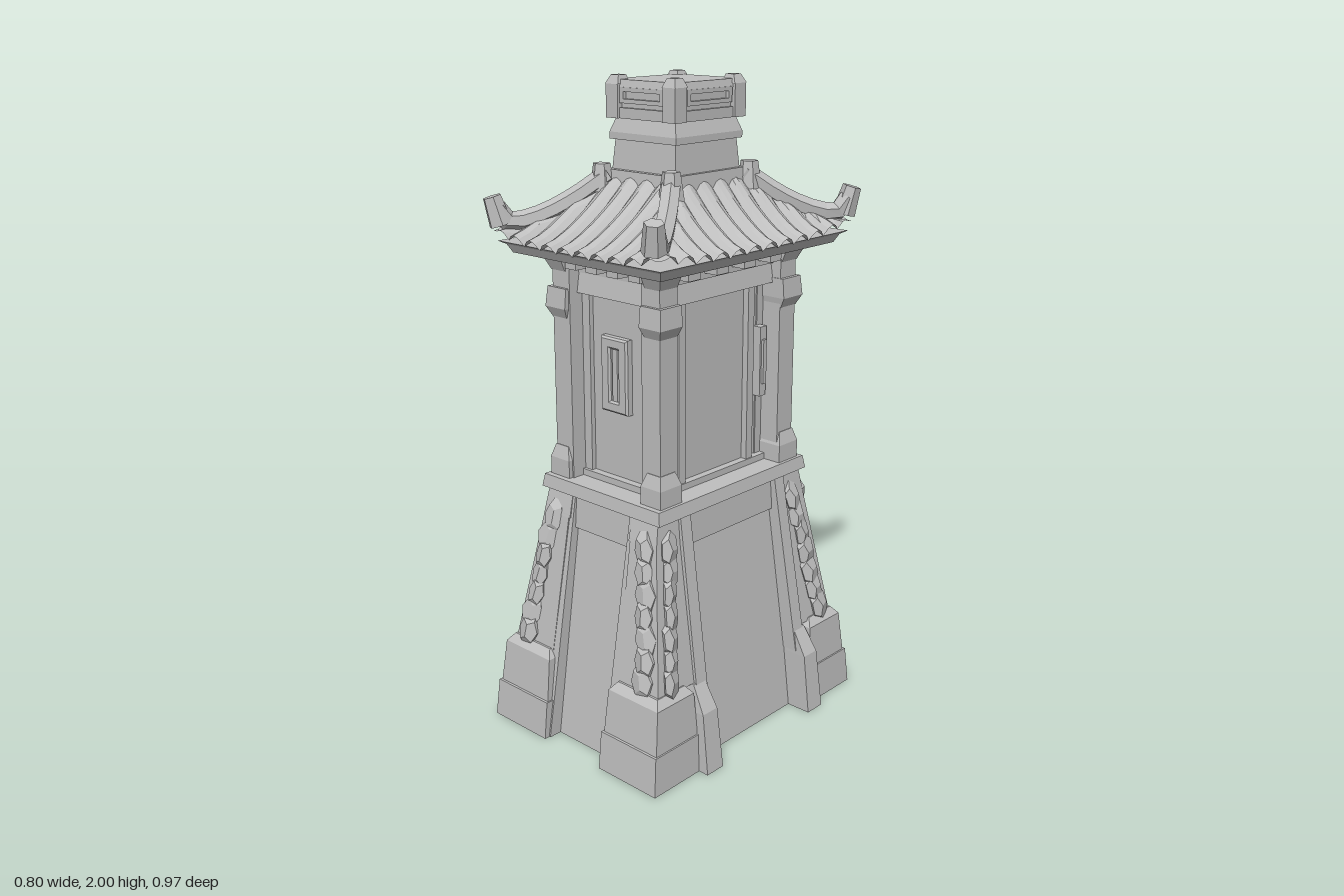
import * as THREE from 'three';

const stone = new THREE.MeshStandardMaterial({ color: 0xbfbfbf, flatShading: true, side: THREE.DoubleSide });
stone.name = 'grey stone';

const corners = [[1, 1], [-1, 1], [1, -1], [-1, -1]];
const lerp = THREE.MathUtils.lerp;

// Half width of the sloping base walls at height y
const wallX = y => lerp(0.305, 0.2, y / 0.78);
const wallZ = y => lerp(0.412, 0.298, y / 0.78);

export function createModel() {
  const group = new THREE.Group();
  const tower = new THREE.Group();
  tower.name = 'tower';
  tower.rotation.y = -0.045;
  group.add(tower);

  let seed = 7;
  const rand = () => (seed = (seed * 16807) % 2147483647) / 2147483647;

  const add = (name, geo) => {
    const m = new THREE.Mesh(geo, stone);
    m.name = name;
    tower.add(m);
    return m;
  };
  // Box between two heights; each rectangle is [x0, x1, z0, z1]; parts on the ground are hollow below
  const block = (name, y0, y1, a, b = a) => {
    const geo = new THREE.BoxGeometry(1, 1, 1);
    const p = geo.attributes.position;
    for (let i = 0; i < p.count; i++) {
      const r = p.getY(i) > 0 ? b : a;
      p.setXYZ(i, p.getX(i) > 0 ? r[1] : r[0], p.getY(i) > 0 ? y1 : y0, p.getZ(i) > 0 ? r[3] : r[2]);
    }
    if (y0 === 0) {
      const index = Array.from(geo.index.array);
      index.splice(18, 6);
      geo.setIndex(index);
      geo.clearGroups();
    }
    return add(name, geo);
  };
  const rect = (x, z) => [-x, x, -z, z];
  const slab = (name, y0, y1, x0, z0, x1 = x0, z1 = z0) => block(name, y0, y1, rect(x0, z0), rect(x1, z1));
  // Rectangle mirrored into one of the four corners
  const mir = ([x0, x1, z0, z1], sx, sz) => [
    Math.min(sx * x0, sx * x1), Math.max(sx * x0, sx * x1),
    Math.min(sz * z0, sz * z1), Math.max(sz * z0, sz * z1)];
  const four = (name, y0, y1, a, b = a) => corners.forEach(([sx, sz]) => block(name, y0, y1, mir(a, sx, sz), mir(b, sx, sz)));

  // Sloping base and the bands around it
  slab('baseWall', 0, 0.78, wallX(0), wallZ(0), wallX(0.78), wallZ(0.78));
  slab('baseBand', 0.67, 0.78, wallX(0.67) + 0.012, wallZ(0.67) + 0.012, 0.22, 0.318);
  slab('ledge', 0.775, 0.815, 0.247, 0.338, 0.24, 0.332);

  // Stepped corner footings and tapering pilasters
  four('cornerFooting', 0, 0.12, [0.12, 0.352, 0.27, 0.472], [0.12, 0.345, 0.27, 0.46]);
  four('cornerFootingTop', 0.12, 0.255, [0.125, 0.34, 0.275, 0.452], [0.13, 0.33, 0.28, 0.436]);
  four('cornerFootingCap', 0.255, 0.28, [0.13, 0.33, 0.28, 0.436], [0.15, 0.31, 0.3, 0.415]);
  four('cornerPilaster', 0.27, 0.71, [0.14, 0.308, 0.24, 0.41], [0.13, 0.235, 0.225, 0.338]);
  four('pilasterCap', 0.7, 0.78, [0.125, 0.237, 0.225, 0.34], [0.125, 0.228, 0.22, 0.323]);
  four('pilasterEdge', 0, 0.78, [0.115, 0.15, 0.3, 0.455], [0.115, 0.145, 0.25, 0.322]);

  // Rough carving climbing both outer faces of each pilaster
  corners.forEach(([sx, sz]) => {
    for (let i = 0; i < 7; i++) {
      const t = i / 6, y = lerp(0.31, 0.69, t);
      const px = lerp(0.304, 0.237, t), pz = lerp(0.406, 0.34, t);
      const carve = (x, z, ax, az) => {
        const geo = new THREE.DodecahedronGeometry(1, 0);
        geo.scale(ax * (0.8 + 0.4 * rand()), 0.06, az * (0.8 + 0.4 * rand()));
        const m = add('carving', geo);
        m.position.set(sx * x, y, sz * z);
        m.rotation.set(sz * -0.15, rand() * 0.4, sx * 0.15 + (rand() - 0.5) * 0.2);
      };
      carve(lerp(0.25, 0.195, t) + (rand() - 0.5) * 0.015, pz, 0.035, 0.021);
      carve(px, lerp(0.35, 0.29, t) + (rand() - 0.5) * 0.015, 0.021, 0.037);
    }
  });

  // Plain ribs on the left face, with stepped feet on both side faces
  [1, -1].forEach(sz => {
    block('sideRib', 0.2, 0.78, mir([0.2, 0.328, 0.21, 0.258], 1, sz), mir([0.18, 0.236, 0.195, 0.238], 1, sz));
    [1, -1].forEach(sx => {
      block('ribFoot', 0, 0.19, mir([0.25, 0.386, 0.21, 0.28], sx, sz), mir([0.25, 0.362, 0.212, 0.275], sx, sz));
      block('ribFootTop', 0.19, 0.27, mir([0.25, 0.362, 0.212, 0.275], sx, sz), mir([0.22, 0.315, 0.215, 0.265], sx, sz));
    });
  });

  // Arched doorway leaning against the right face
  const arch = new THREE.Shape();
  arch.moveTo(-0.25, 0).lineTo(-0.25, 0.33).absarc(0, 0.33, 0.25, Math.PI, 0, true);
  arch.lineTo(0.25, 0).lineTo(0.19, 0).lineTo(0.19, 0.33).absarc(0, 0.33, 0.19, 0, Math.PI, false);
  arch.lineTo(-0.19, 0).closePath();
  const archGeo = new THREE.ExtrudeGeometry(arch, { depth: 0.075, bevelEnabled: false, curveSegments: 8 });
  archGeo.rotateY(-Math.PI / 2);
  const ap = archGeo.attributes.position;
  for (let i = 0; i < ap.count; i++) ap.setX(i, ap.getX(i) - wallX(ap.getY(i)) + 0.02);
  add('doorArch', archGeo);

  // Horned beast head above the arch
  block('beastHead', 0.61, 0.74, [-0.285, -0.2, -0.035, 0.035], [-0.275, -0.2, -0.065, 0.065]);
  block('beastSnout', 0.55, 0.66, [-0.3, -0.22, -0.025, 0.025], [-0.305, -0.22, -0.04, 0.04]);
  [1, -1].forEach(s => {
    const horn = add('beastHorn', new THREE.ConeGeometry(0.028, 0.12, 5));
    horn.position.set(-0.25, 0.765, s * 0.08);
    horn.rotation.x = s * 0.6;
    const ear = add('beastEar', new THREE.ConeGeometry(0.028, 0.09, 4));
    ear.position.set(-0.255, 0.69, s * 0.09);
    ear.rotation.x = s * 1.5;
  });

  // Upper room with panel strips and corner posts
  slab('roomWall', 0.81, 1.46, 0.146, 0.235);
  four('frontStrip', 0.81, 1.4, [0.115, 0.15, 0.2, 0.25]);
  four('sideStrip', 0.81, 1.4, [0.1, 0.166, 0.14, 0.168]);
  four('cornerPost', 0.81, 1.46, [0.145, 0.216, 0.228, 0.3]);
  four('postBase', 0.81, 0.87, [0.15, 0.23, 0.225, 0.314]);
  four('postBaseTop', 0.87, 0.91, [0.15, 0.23, 0.225, 0.314], [0.165, 0.218, 0.24, 0.302]);
  four('postCapital', 1.31, 1.34, [0.158, 0.218, 0.23, 0.302], [0.15, 0.233, 0.225, 0.316]);
  four('postCapitalTop', 1.34, 1.4, [0.15, 0.233, 0.225, 0.316], [0.15, 0.228, 0.225, 0.31]);
  slab('lowerRail', 0.81, 0.835, 0.17, 0.26);
  slab('lintel', 1.385, 1.445, 0.188, 0.27, 0.178, 0.26);
  slab('frieze', 1.445, 1.5, 0.188, 0.262);
  four('eaveBracket', 1.45, 1.5, [0.16, 0.218, 0.23, 0.302], [0.16, 0.24, 0.23, 0.324]);

  // Narrow shutters beside each side panel
  four('shutter', 1.03, 1.25, [0.14, 0.176, 0.187, 0.216]);
  four('shutterSlat', 1.07, 1.21, [0.14, 0.184, 0.194, 0.209]);

  // Dentil blocks under the eaves
  for (const s of [1, -1]) {
    for (let i = -1.5; i <= 1.5; i++) {
      const x = i * 0.085, z = i * 0.12;
      block('dentil', 1.462, 1.5, [x - 0.022, x + 0.022, s * 0.28 - 0.03, s * 0.28 + 0.03]);
      block('dentil', 1.462, 1.5, [s * 0.205 - 0.03, s * 0.205 + 0.03, z - 0.025, z + 0.025]);
    }
  }

  // Framed slit windows, front and back
  const frame = new THREE.Shape([[-0.048, -0.108], [0.048, -0.108], [0.048, 0.108], [-0.048, 0.108]].map(p => new THREE.Vector2(...p)));
  frame.holes.push(new THREE.Path([[-0.022, -0.085], [-0.022, 0.085], [0.022, 0.085], [0.022, -0.085]].map(p => new THREE.Vector2(...p))));
  for (const s of [1, -1]) {
    const win = add('windowFrame', new THREE.ExtrudeGeometry(frame, { depth: 0.018, bevelSize: 0.006, bevelThickness: 0.006, bevelSegments: 1 }));
    win.position.set(-0.01 * s, 1.155, s * 0.235);
    win.rotation.y = s > 0 ? 0 : Math.PI;
    block('windowBar', 1.07, 1.24, [-0.01 * s - 0.01, -0.01 * s + 0.01, s * 0.243 - 0.01, s * 0.243 + 0.01]);
  }

  // Eaves and the concave roof; tile ribs run straight down and stop at the hips
  slab('eaveSlab', 1.5, 1.525, 0.295, 0.38, 0.308, 0.393);
  slab('eaveSoffit', 1.525, 1.535, 0.308, 0.393, 0.325, 0.412);
  const roofSide = (w, d, topW, topD, ribs, turn) => {
    const geo = new THREE.PlaneGeometry(2, 1, ribs * 4, 7);
    const p = geo.attributes.position;
    for (let i = 0; i < p.count; i++) {
      const v = p.getY(i) + 0.5, half = lerp(w, topW, v);
      const x = THREE.MathUtils.clamp(p.getX(i) * w, -half, half), u = x / half;
      const rib = Math.abs(Math.sin((x / w + 1) * ribs * Math.PI / 2)) * 0.026 * (1 - 0.5 * v) * Math.min(1, (half - Math.abs(x)) * 20);
      const y = 1.53 + 0.185 * Math.pow(v, 1.4) + rib + 0.035 * Math.pow(Math.abs(u), 4) * (1 - v);
      p.setXYZ(i, x, y, lerp(d, topD, v) + rib * 0.4);
    }
    add('roofTiles', geo).rotation.y = turn;
  };
  for (const half of [0, Math.PI]) {
    roofSide(0.33, 0.42, 0.12, 0.14, 10, half);
    roofSide(0.42, 0.33, 0.14, 0.12, 12, half + Math.PI / 2);
  }

  // Upswept corner ridges with knobs at both ends
  for (const [sx, sz] of corners) {
    const pts = [[0.125, 1.72, 0.155], [0.19, 1.65, 0.24], [0.25, 1.603, 0.325], [0.295, 1.592, 0.39], [0.312, 1.63, 0.42]];
    const path = new THREE.CatmullRomCurve3(pts.map(([x, y, z]) => new THREE.Vector3(sx * x, y, sz * z)));
    add('roofRidge', new THREE.TubeGeometry(path, 8, 0.03, 6));
    const tip = add('ridgeTip', new THREE.CylinderGeometry(0.028, 0.036, 0.085, 6));
    tip.position.set(sx * 0.312, 1.625, sz * 0.422);
    tip.rotation.set(sz * 0.2, 0, -sx * 0.2);
    const knob = add('ridgeKnob', new THREE.CylinderGeometry(0.026, 0.038, 0.08, 6));
    knob.position.set(sx * 0.137, 1.712, sz * 0.168);
  }

  // Stepped turret neck
  slab('neckBase', 1.66, 1.735, 0.145, 0.163, 0.137, 0.155);
  slab('neckLower', 1.73, 1.82, 0.125, 0.138, 0.118, 0.13);
  slab('neckBand', 1.82, 1.84, 0.13, 0.142);
  slab('neckUpper', 1.84, 1.885, 0.13, 0.142, 0.114, 0.127);

  // Turret cap with raised slots and corner knobs
  slab('cap', 1.88, 1.98, 0.118, 0.132);
  slab('capLowerRim', 1.88, 1.91, 0.128, 0.142);
  slab('capUpperRim', 1.965, 1.988, 0.128, 0.142, 0.122, 0.136);
  four('capCorner', 1.88, 1.975, [0.088, 0.135, 0.102, 0.15]);
  four('capCornerTop', 1.975, 2, [0.085, 0.136, 0.099, 0.151], [0.094, 0.124, 0.108, 0.139]);
  const slot = (w, d, turn) => {
    const s = new THREE.Shape([[-w, -0.022], [w, -0.022], [w, 0.022], [-w, 0.022]].map(p => new THREE.Vector2(...p)));
    const q = w - 0.014;
    s.holes.push(new THREE.Path([[-q, -0.01], [-q, 0.01], [q, 0.01], [q, -0.01]].map(p => new THREE.Vector2(...p))));
    const geo = new THREE.ExtrudeGeometry(s, { depth: 0.014, bevelEnabled: false });
    geo.translate(0, 1.945, d);
    add('capSlot', geo).rotation.y = turn;
  };
  for (const half of [0, Math.PI]) {
    slot(0.085, 0.13, half);
    slot(0.095, 0.116, half + Math.PI / 2);
  }

  return group;
}
